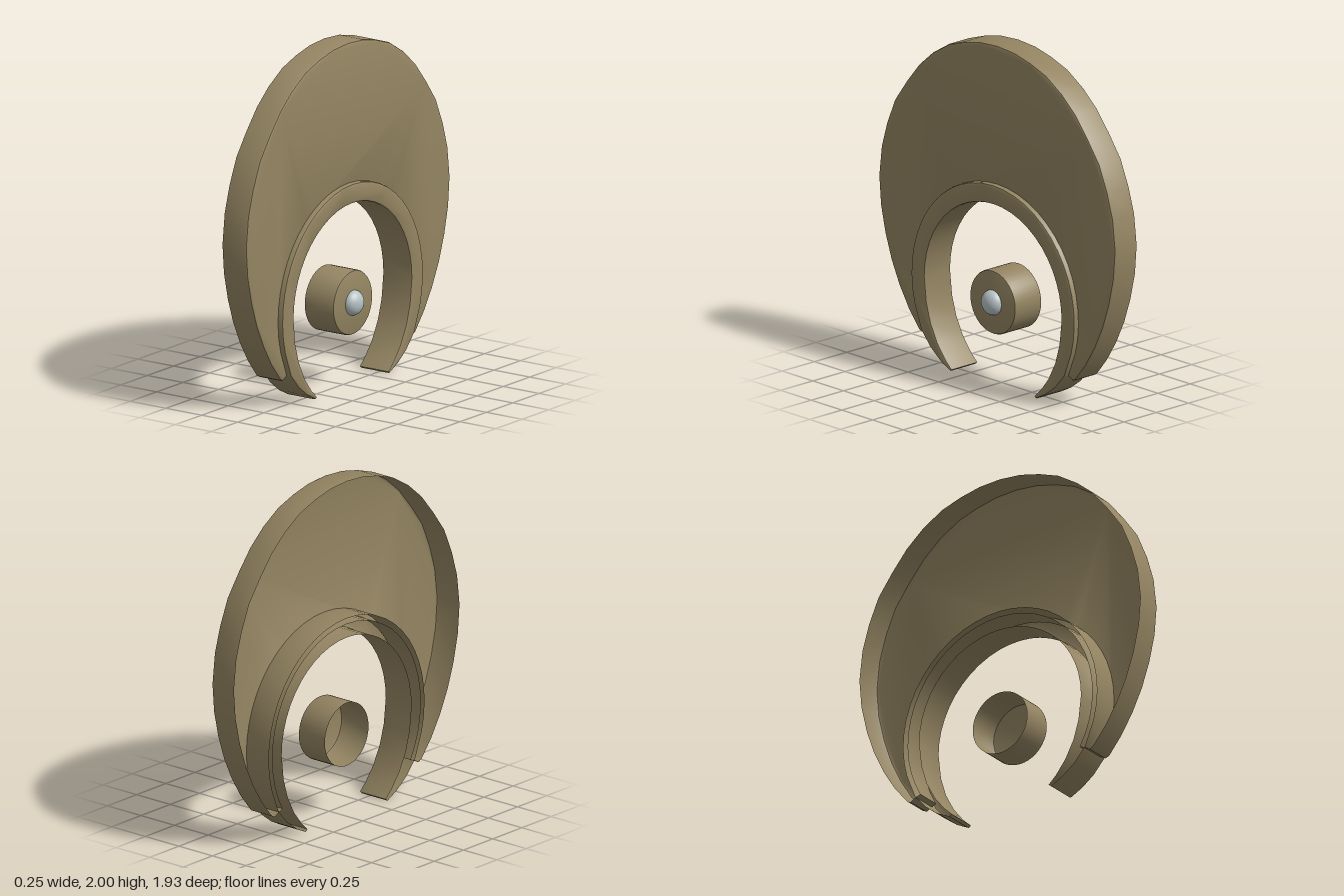
import * as THREE from 'three';
import { toCreasedNormals } from 'three/addons/utils/BufferGeometryUtils.js';

const BACK = -0.13;

// Half outline (x >= 0, first and last points on the axis) mirrored to a closed counter-clockwise loop
function mirrorOutline(half) {
  const pts = half.map(([x, y]) => new THREE.Vector2(x, y));
  const other = pts.slice(1, -1).reverse().map((p) => new THREE.Vector2(-p.x, p.y));
  const loop = pts.concat(other);
  return THREE.ShapeUtils.area(loop) < 0 ? loop.reverse() : loop;
}

// Loop moved inwards by d, with a limited mitre at sharp tips
function inset(loop, d) {
  const n = loop.length;
  return loop.map((p, i) => {
    const a = p.clone().sub(loop[(i + n - 1) % n]).normalize();
    const b = loop[(i + 1) % n].clone().sub(p).normalize();
    const m = new THREE.Vector2(-a.y - b.y, a.x + b.x).normalize();
    const k = d / Math.max(0.7, m.dot(new THREE.Vector2(-a.y, a.x)));
    return p.clone().addScaledVector(m, k);
  });
}

// Hollow pressed shell: side wall, rounded front edge, front face, open back
function shell(loop, front, bevel) {
  const n = loop.length, pos = [], idx = [];
  const rings = [[0, BACK], [0, front - bevel], [0.3 * bevel, front - 0.3 * bevel], [bevel, front]];
  for (const [d, z] of rings) for (const p of inset(loop, d)) pos.push(p.x, p.y, z);
  for (let r = 0; r < rings.length - 1; r++) {
    for (let i = 0; i < n; i++) {
      const j = (i + 1) % n, a = r * n + i, b = r * n + j;
      idx.push(a, b, b + n, a, b + n, a + n);
    }
  }
  const top = (rings.length - 1) * n;
  for (const f of THREE.ShapeUtils.triangulateShape(inset(loop, bevel), [])) {
    idx.push(top + f[0], top + f[1], top + f[2]);
  }
  const g = new THREE.BufferGeometry();
  g.setAttribute('position', new THREE.Float32BufferAttribute(pos, 3));
  g.setIndex(idx);
  return toCreasedNormals(g, 0.5).rotateY(Math.PI / 2);
}

// Points on an arc round (0, cy), angles measured from straight up
function arc(r, cy, from, to, steps) {
  return Array.from({ length: steps + 1 }, (_, i) => {
    const t = from + ((to - from) * i) / steps;
    return [r * Math.sin(t), cy + r * Math.cos(t)];
  });
}

export function createModel() {
  const group = new THREE.Group();
  const bronze = new THREE.MeshStandardMaterial({ color: 0x948562, side: THREE.DoubleSide });
  bronze.name = 'bronze';
  const silver = new THREE.MeshStandardMaterial({ color: 0xb6c2c4, side: THREE.DoubleSide });
  silver.name = 'silver';

  const add = (name, geometry, material) => {
    const mesh = new THREE.Mesh(geometry, material);
    mesh.name = name;
    group.add(mesh);
    return mesh;
  };

  // Large crescent plate; its inner edge is tucked inside the ring
  const plate = mirrorOutline([
    [0, 2], [0.14, 1.99], [0.27, 1.96], [0.4, 1.915], [0.53, 1.835], [0.64, 1.74],
    [0.74, 1.62], [0.835, 1.49], [0.9, 1.34], [0.945, 1.19], [0.966, 1.01], [0.952, 0.84],
    [0.915, 0.68], [0.865, 0.535], [0.8, 0.4], [0.725, 0.28], [0.64, 0.175], [0.615, 0.163],
    [0.585, 0.18], ...arc(0.635, 0.515, 2.1, 0, 16),
  ]);
  add('crescentPlate', shell(plate, 0.037, 0.014), bronze);

  // Raised crescent ring, tapering to two points at the bottom
  const ring = mirrorOutline([
    ...arc(0.667, 0.517, 0, 1.85, 14),
    [0.585, 0.19], [0.51, 0.105], [0.43, 0.045], [0.35, 0.004], [0.335, 0.016],
    [0.385, 0.063], [0.45, 0.145], [0.505, 0.25], [0.54, 0.365],
    ...arc(0.557, 0.513, Math.PI / 2, 0, 12),
  ]);
  add('crescentRing', shell(ring, 0.07, 0.012), bronze);

  // Round hub, open at the back
  const hub = new THREE.LatheGeometry([
    [0.187, BACK], [0.187, 0.058], [0.183, 0.067], [0.175, 0.07], [0, 0.07],
  ].map(([r, y]) => new THREE.Vector2(r, y)), 40);
  const hubMesh = add('hub', toCreasedNormals(hub, 0.6).rotateZ(-Math.PI / 2), bronze);
  hubMesh.position.y = 0.492;

  // Domed stud on the hub
  const dome = new THREE.SphereGeometry(0.073, 28, 10, 0, Math.PI * 2, 0, Math.PI / 2);
  const stud = add('stud', dome.scale(1, 0.75, 1).rotateZ(-Math.PI / 2), silver);
  stud.position.set(0.07, 0.492, 0);

  return group;
}
